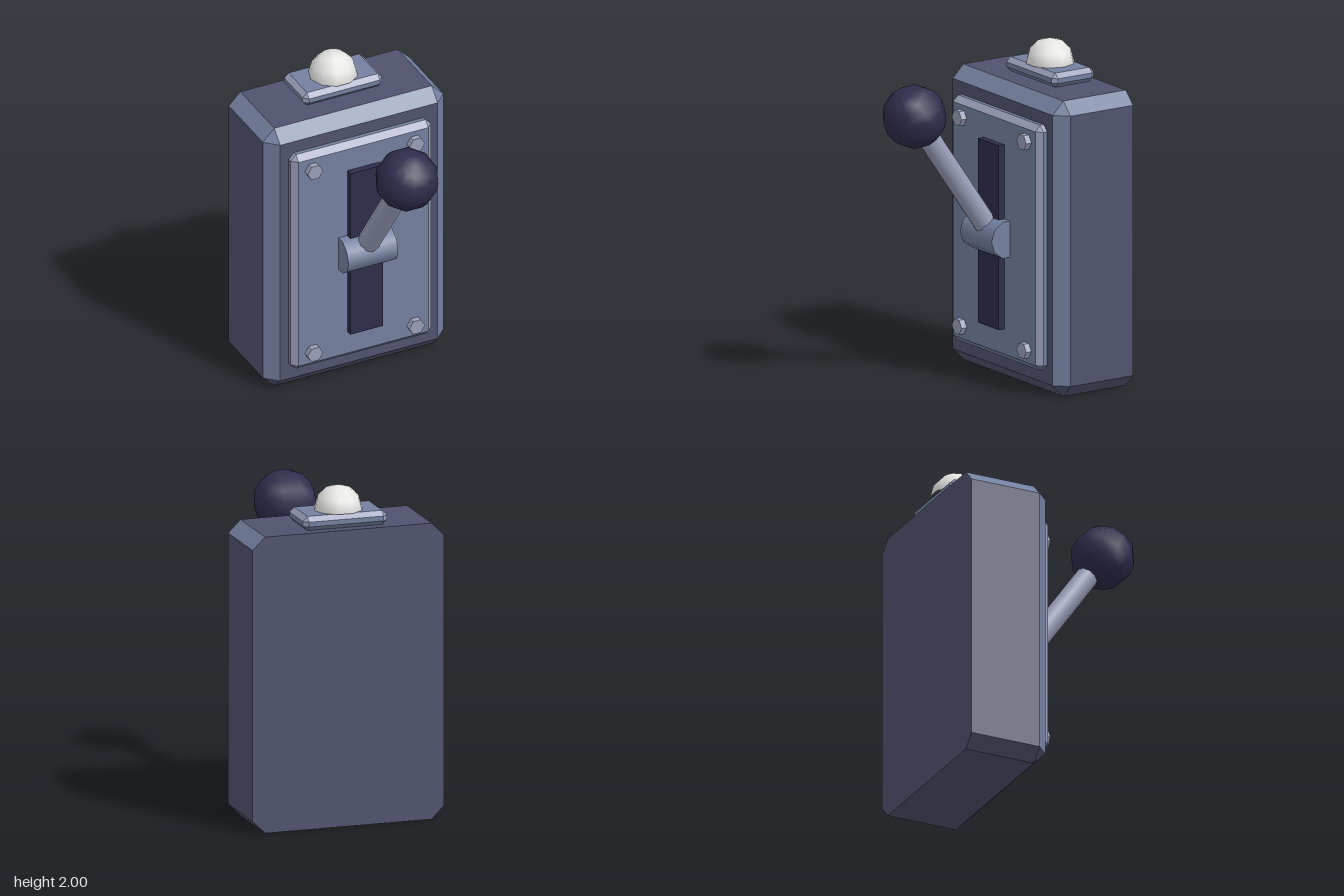
import * as THREE from 'three';

const mat = (name, color) => {
  const m = new THREE.MeshStandardMaterial({ color });
  m.name = name;
  return m;
};

// Box with chamfered edges; the chamfers (except those facing down) take the trim material.
// backCut = 0 leaves the back rim square.
function chamferBox(name, x, y, z, cut, backCut, faceMat, trimMat) {
  const half = [(x[1] - x[0]) / 2, (y[1] - y[0]) / 2, (z[1] - z[0]) / 2];
  // vertex of the corner s that lies on the face of the given axis
  const vert = (s, axis) => new THREE.Vector3(...s.map((v, i) => {
    const c = i === 2 && s[2] < 0 ? backCut : cut;
    return v * (half[i] - (i === axis ? 0 : c));
  }));
  const lists = [[], []];
  const add = (pts, trim) => {
    const n = pts[1].clone().sub(pts[0]).cross(pts[2].clone().sub(pts[0]));
    const mid = pts.reduce((a, p) => a.add(p), new THREE.Vector3());
    if (n.dot(mid) < 0) { pts.reverse(); n.negate(); }
    n.normalize();
    const useTrim = trim && n.y > -0.1 && n.z > -0.95;
    for (let i = 1; i < pts.length - 1; i++)
      for (const p of [pts[0], pts[i], pts[i + 1]]) lists[useTrim ? 1 : 0].push(p.x, p.y, p.z);
  };
  const at = (a, sa, b, sb, c, sc) => {
    const s = [0, 0, 0];
    s[a] = sa; s[b] = sb; s[c] = sc;
    return s;
  };
  for (let a = 0; a < 3; a++) {
    const b = (a + 1) % 3, c = (a + 2) % 3;
    for (const sa of [-1, 1]) {
      // flat side
      add([[-1, -1], [1, -1], [1, 1], [-1, 1]].map(([u, v]) => vert(at(a, sa, b, u, c, v), a)), false);
      // chamfers between the sides a and b
      for (const sb of [-1, 1]) {
        const p = at(a, sa, b, sb, c, -1), q = at(a, sa, b, sb, c, 1);
        add([vert(p, a), vert(q, a), vert(q, b), vert(p, b)], true);
        // corner triangles, once per corner
        if (a === 0) for (const s of [p, q]) add([vert(s, 0), vert(s, 1), vert(s, 2)], true);
      }
    }
  }
  const geo = new THREE.BufferGeometry();
  geo.setAttribute('position', new THREE.Float32BufferAttribute(lists.flat(), 3));
  geo.addGroup(0, lists[0].length / 3, 0);
  geo.addGroup(lists[0].length / 3, lists[1].length / 3, 1);
  geo.computeVertexNormals();
  const mesh = new THREE.Mesh(geo, [faceMat, trimMat]);
  mesh.name = name;
  mesh.position.set((x[0] + x[1]) / 2, (y[0] + y[1]) / 2, (z[0] + z[1]) / 2);
  return mesh;
}

export function createModel() {
  const model = new THREE.Group();
  model.name = 'leverSwitch';
  const bodyMat = mat('dark slate', 0x50536f);
  const plateMat = mat('blue grey', 0x7480a0);
  const lightMat = mat('pale steel', 0x9a9fba);
  const darkMat = mat('deep navy', 0x2e2c4c);
  const lampMat = mat('lamp white', 0xe4e4e2);

  const add = (name, geo, material, x, y, z, parent = model) => {
    const m = new THREE.Mesh(geo, material);
    m.name = name;
    m.position.set(x, y, z);
    parent.add(m);
    return m;
  };

  // Housing, front plate and lamp base
  model.add(
    chamferBox('housing', [-0.585, 0.585], [0, 1.77], [-0.66, -0.145], 0.075, 0, bodyMat, plateMat),
    chamferBox('frontPlate', [-0.455, 0.455], [0.15, 1.62], [-0.145, -0.085], 0.035, 0, plateMat, lightMat),
    chamferBox('lampBase', [-0.257, 0.257], [1.77, 1.855], [-0.625, -0.33], 0.028, 0.028, plateMat, lightMat)
  );

  // Lamp dome
  add('lamp', new THREE.SphereGeometry(0.145, 10, 3, 0, Math.PI * 2, 0, Math.PI / 2), lampMat, 0, 1.855, -0.478);

  // Slot strip
  add('slot', new THREE.BoxGeometry(0.21, 1.105, 0.04), darkMat, 0, 0.8875, -0.065);

  // Hexagonal bolts in the plate corners
  const boltGeo = new THREE.CylinderGeometry(0.05, 0.05, 0.036, 6, 1, false, Math.PI / 6).rotateX(Math.PI / 2).toNonIndexed();
  boltGeo.computeVertexNormals();
  for (const x of [-0.33, 0.33])
    for (const y of [0.26, 1.51]) add('bolt', boltGeo, lightMat, x, y, -0.067);

  // Pivot hub across the slot, one corner pointing forward
  add('hub', new THREE.CylinderGeometry(0.114, 0.114, 0.322, 10).rotateZ(Math.PI / 2), plateMat, 0, 0.886, -0.07);

  // Tilted lever with its knob
  const lever = new THREE.Group();
  lever.name = 'lever';
  lever.position.set(0, 0.886, -0.07);
  lever.rotation.x = Math.atan2(0.546, 0.784);
  model.add(lever);
  const reach = Math.hypot(0.546, 0.784);
  add('rod', new THREE.CylinderGeometry(0.067, 0.067, reach, 10), lightMat, 0, reach / 2, 0, lever);
  add('knob', new THREE.SphereGeometry(0.188, 10, 8), darkMat, 0, reach, 0, lever);

  return model;
}
